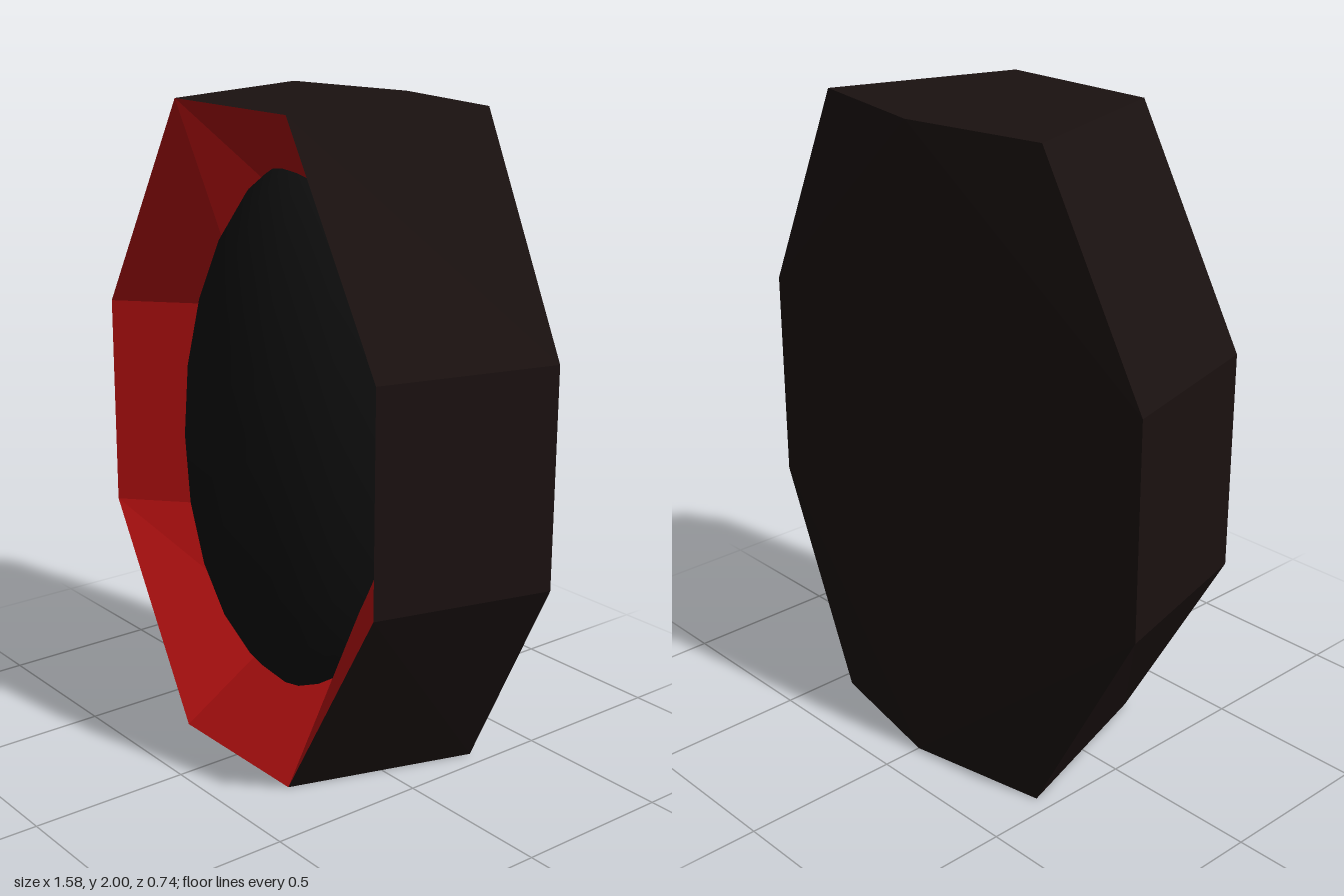
import * as THREE from 'three';

// Octagon ring, counter-clockwise seen from the front.
// (cx, cy, cz): corner on the short top/bottom edges; (mx, my, mz): corner on the long side edges.
function octagon([cx, cy, cz], [mx, my, mz]) {
  return [
    [cx, 1 - cy, cz], [mx, 1 - my, mz], [mx, 1 + my, mz], [cx, 1 + cy, cz],
    [-cx, 1 + cy, cz], [-mx, 1 + my, mz], [-mx, 1 - my, mz], [-cx, 1 - cy, cz],
  ];
}

// Quads joining two rings of equal length
function loft(a, b) {
  return a.map((p, i) => {
    const j = (i + 1) % a.length;
    return [p, a[j], b[j], b[i]];
  });
}

// Flat-shaded mesh from convex polygons
function polyMesh(name, polygons, color) {
  const pos = [];
  for (const p of polygons)
    for (let i = 1; i < p.length - 1; i++) pos.push(...p[0], ...p[i], ...p[i + 1]);
  const geo = new THREE.BufferGeometry();
  geo.setAttribute('position', new THREE.Float32BufferAttribute(pos, 3));
  geo.computeVertexNormals();
  const mesh = new THREE.Mesh(geo, new THREE.MeshStandardMaterial({ color, flatShading: true }));
  mesh.name = name;
  return mesh;
}

export function createModel() {
  const group = new THREE.Group();
  group.name = 'octagonalLamp';

  const back = octagon([0.445, 1, -0.285], [0.79, 0.333, -0.25]);
  const front = octagon([0.265, 1, 0.29], [0.65, 0.333, 0.29]);
  const inner = octagon([0.155, 0.71, 0], [0.33, 0.333, 0]);

  // Housing: tapered sides and a back folded along a vertical ridge
  const r0 = [0, 0, -0.37], r1 = [0, 2, -0.37];
  const [c0, m0, m1, c1, d1, n1, n0, d0] = back;
  const housing = [
    ...loft(back, front),
    [d0, r0, c0], [c1, r1, d1],
    [r0, r1, m1, m0], [r0, m0, c0], [r1, c1, m1],
    [r1, r0, n0, n1], [r0, d0, n0], [r1, n1, d1],
  ];
  group.add(polyMesh('housing', housing, 0x1a1110));

  // Red funnel sloping in from the front rim
  group.add(polyMesh('innerBevel', loft(front, inner), 0xb01010));

  // Dark bulging lens
  const lensGeo = new THREE.SphereGeometry(1, 12, 12);
  lensGeo.scale(0.41, 0.84, 0.37);
  const lens = new THREE.Mesh(lensGeo, new THREE.MeshStandardMaterial({ color: 0x0d0d0d }));
  lens.name = 'lens';
  lens.position.y = 1;
  group.add(lens);

  return group;
}
